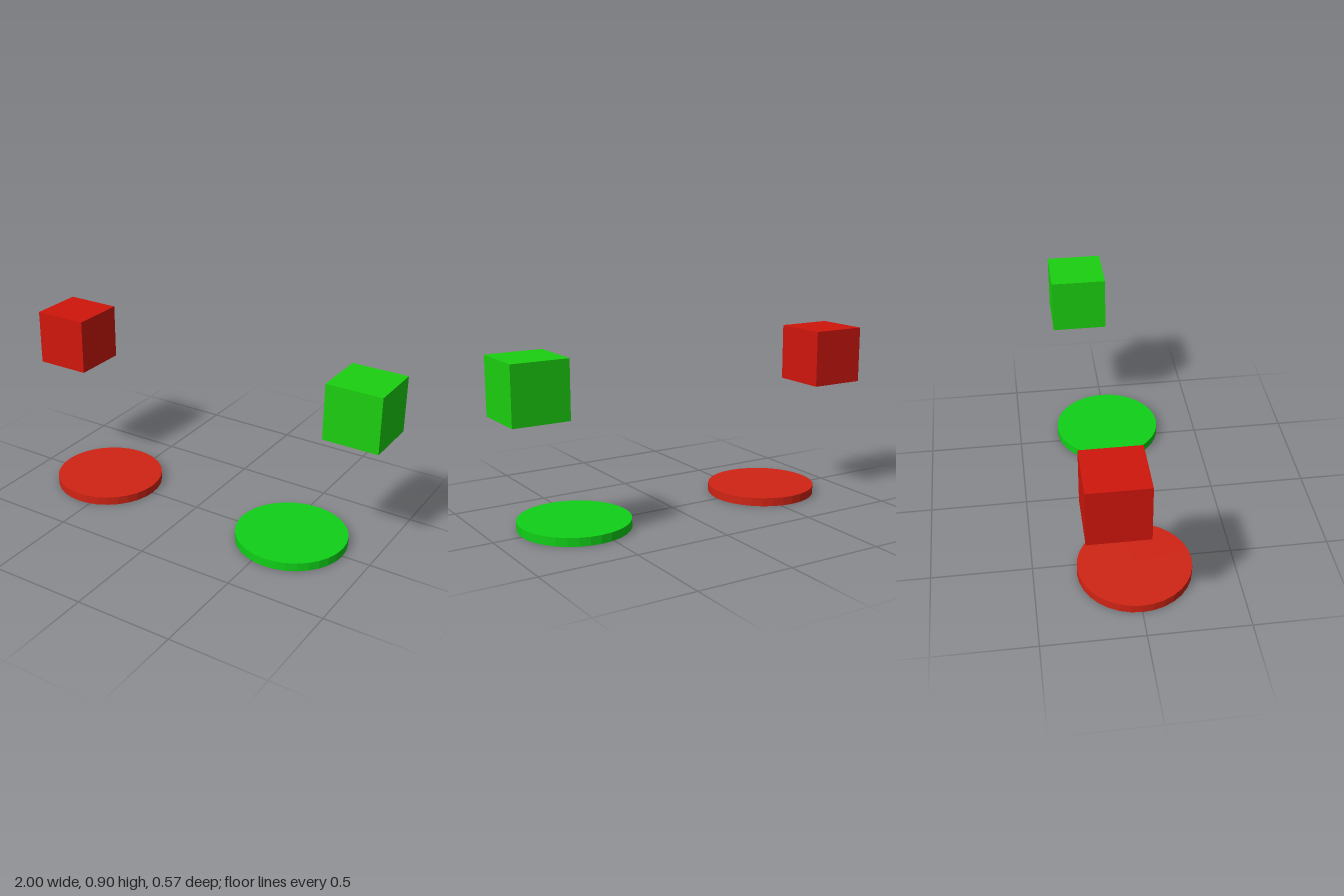
import * as THREE from 'three';

export function createModel() {
  const model = new THREE.Group();
  const cubeGeometry = new THREE.BoxGeometry(0.288, 0.288, 0.288);
  const discGeometry = new THREE.CylinderGeometry(0.285, 0.285, 0.044, 32);

  function addPart(name, geometry, color, x, y, z) {
    const material = new THREE.MeshStandardMaterial({ color, flatShading: true });
    const mesh = new THREE.Mesh(geometry, material);
    mesh.name = name;
    mesh.position.set(x, y, z);
    model.add(mesh);
  }

  // A floating cube and a flat disc on each side: green left, red right
  const sides = [
    { name: 'left', sign: 1, cube: 0x1cd010, disc: 0x10d018 },
    { name: 'right', sign: -1, cube: 0xd0160c, disc: 0xd02414 },
  ];
  for (const { name, sign, cube, disc } of sides) {
    addPart(name + 'Cube', cubeGeometry, cube, sign * 0.856, 0.756, -0.131);
    addPart(name + 'Disc', discGeometry, disc, sign * 0.569, 0.022, 0);
  }
  return model;
}
